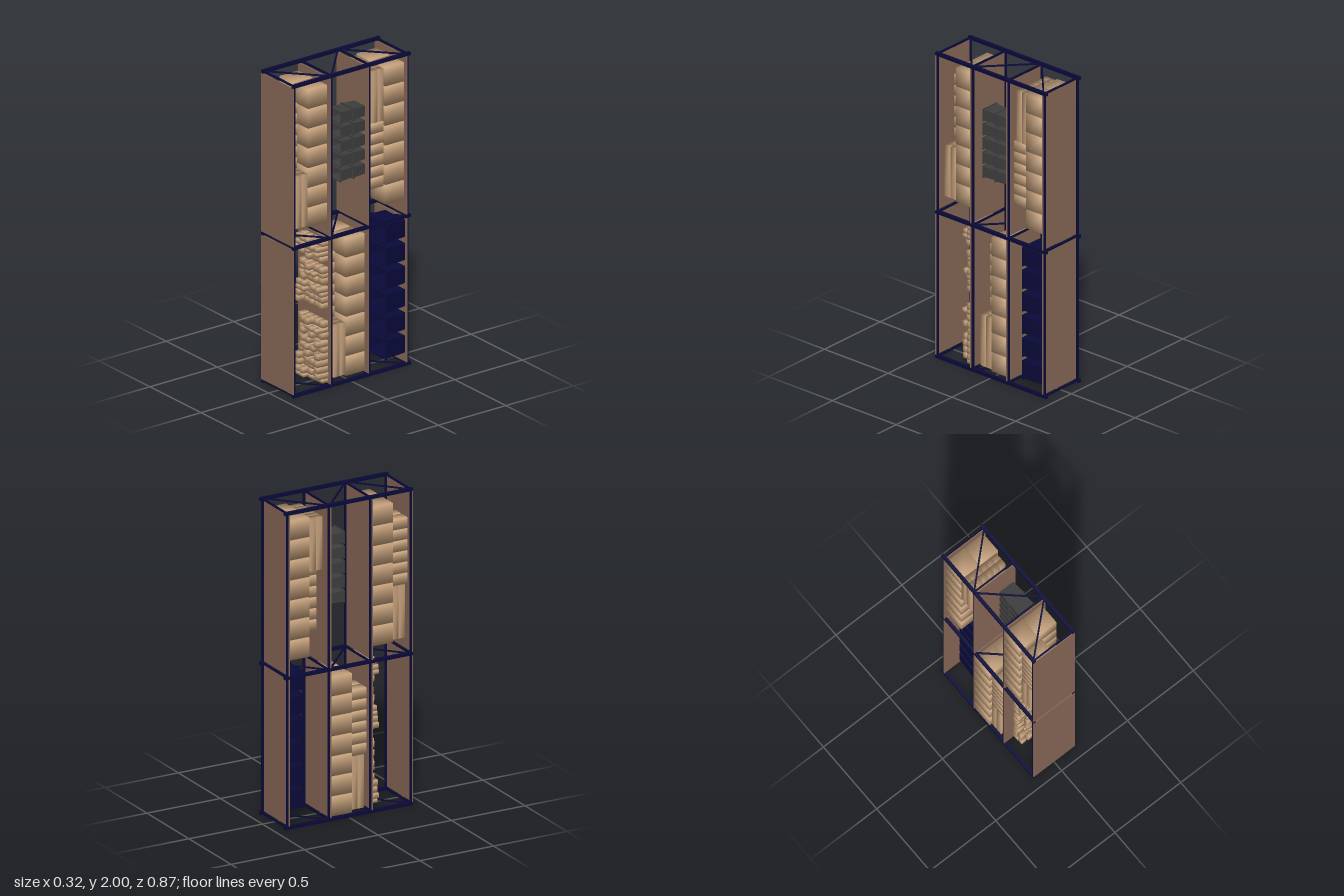
import * as THREE from 'three';
import { mergeVertices } from 'three/addons/utils/BufferGeometryUtils.js';

const mat = (name, color, side = THREE.FrontSide) => {
  const m = new THREE.MeshStandardMaterial({ color, side });
  m.name = name;
  return m;
};

export function createModel() {
  const root = new THREE.Group();
  root.name = 'storageRack';
  const navy = mat('navy steel', 0x0a0a3a, THREE.DoubleSide);
  const board = mat('brown board', 0x8a6a58);
  const card = mat('cardboard', 0xcaa57f);
  const grey = mat('dark grey plastic', 0x3e3e3e, THREE.DoubleSide);

  // Box given by its min and max on each axis
  function box(parent, name, m, [x0, x1], [y0, y1], [z0, z1], smooth = false) {
    let g = new THREE.BoxGeometry(x1 - x0, y1 - y0, z1 - z0);
    if (smooth) {
      g.deleteAttribute('normal');
      g.deleteAttribute('uv');
      g = mergeVertices(g);
      g.computeVertexNormals();
    }
    const mesh = new THREE.Mesh(g, m);
    mesh.name = name;
    mesh.position.set((x0 + x1) / 2, (y0 + y1) / 2, (z0 + z1) / 2);
    parent.add(mesh);
    return mesh;
  }

  // Rack frames: posts run along z, with struts and diagonal braces between
  const levels = [-0.411, -0.129, 0.153, 0.428];
  for (const y of [0.011, 0.955, 1.989]) {
    const frame = new THREE.Group();
    frame.name = 'rackFrame';
    root.add(frame);
    const h = 0.010;
    for (const x of [-0.15, 0.146])
      box(frame, 'post', navy, [x - 0.01, x + 0.01], [y - h, y + h], [-0.436, 0.434]);
    for (const z of levels)
      box(frame, 'strut', navy, [-0.148, 0.146], [y - 0.006, y + 0.006], [z - 0.01, z - 0.002]);
    for (let i = 0; i < 3; i++) {
      const s = i === 1 ? 1 : -1;
      const za = levels[i] + 0.005, zb = levels[i + 1] - 0.01;
      const dx = 0.29 * s, dz = zb - za, len = Math.hypot(dx, dz);
      const b = box(frame, 'brace', navy, [-len / 2, len / 2], [-0.004, 0.004], [-0.005, 0.005]);
      b.position.set(-0.002, y, (za + zb) / 2);
      b.rotation.y = -Math.atan2(dz, dx);
    }
  }

  // Shelf boards with a beam along each edge
  for (const [y0, y1] of [[0.021, 0.945], [0.965, 1.979]])
    for (const z of levels) {
      box(root, 'shelfBoard', board, [-0.16, 0.154], [y0, y1], [z, z + 0.006]);
      for (const x of [-0.15, 0.144])
        box(root, 'shelfBeam', navy, [x - 0.006, x + 0.006], [y0, y1], [z - 0.012, z - 0.001]);
    }

  // Load of cartons: large ones, long ones and small ones
  function cartonLoad(x, y, z, turn = 0) {
    const load = new THREE.Group();
    load.name = 'cartonLoad';
    load.position.set(x, y, z);
    load.rotation.z = turn;
    root.add(load);
    for (let r = 0; r < 7; r++)
      for (const cx of [-0.071, 0.071])
        box(load, 'largeCarton', card, [cx - 0.069, cx + 0.069],
          [r * 0.126, r * 0.126 + 0.12], [0, 0.139], true);
    for (let c = 0; c < 6; c++)
      for (let l = 0; l < 2; l++) {
        const cx = -0.125 + c * 0.044, cz = 0.141 + l * 0.045;
        box(load, 'longCarton', card, [cx, cx + 0.043], [0.01, 0.342], [cz, cz + 0.043], true);
      }
    for (let r = 0; r < 6; r++)
      for (const cx of [-0.084, -0.006]) {
        const cy = 0.346 + r * 0.07;
        box(load, 'smallCarton', card, [cx - 0.038, cx + 0.038], [cy, cy + 0.065], [0.141, 0.248], true);
      }
  }
  cartonLoad(-0.018, 1.05, 0.16);
  cartonLoad(-0.018, 0.03, -0.12);
  cartonLoad(-0.005, 1.934, -0.402, Math.PI);

  // Loose small packets in two uneven layers
  let seed = 7;
  const rnd = () => (seed = (seed * 16807) % 2147483647) / 2147483647;
  const packets = new THREE.Group();
  packets.name = 'smallPackets';
  root.add(packets);
  for (const [ya, yb] of [[0.03, 0.30], [0.31, 0.44], [0.50, 0.645], [0.655, 0.78], [0.80, 0.935]])
    for (let y = ya; y < yb - 0.02;) {
      const h = Math.min(0.026 + rnd() * 0.018, yb - y);
      for (let c = 0; c < 5; c++) {
        const x = -0.095 + c * 0.046 + rnd() * 0.005, d = 0.036 + rnd() * 0.015;
        box(packets, 'packet', card, [x, x + 0.042], [y, y + h - 0.003], [0.16, 0.16 + d], true);
        if (rnd() < 0.5)
          box(packets, 'upperPacket', card, [x + 0.003, x + 0.04], [y + 0.002, y + h - 0.004],
            [0.16 + d, 0.193 + d], true);
      }
      y += h;
    }

  // Open tapered bin, mouth towards +z, with a thin lip around it
  function bin(name, m, [x0, x1], [y0, y1], [z0, z1], taper) {
    const g = new THREE.Group();
    g.name = name;
    g.position.set((x0 + x1) / 2, (y0 + y1) / 2, (z0 + z1) / 2);
    root.add(g);
    const w = x1 - x0, h = y1 - y0, d = z1 - z0, lip = 0.005;
    const geo = new THREE.BoxGeometry(w - 2 * lip, h - 2 * lip, d);
    const idx = Array.from(geo.index.array);
    idx.splice(24, 6);
    geo.setIndex(idx);
    geo.clearGroups();
    const p = geo.attributes.position;
    for (let i = 0; i < p.count; i++)
      if (p.getZ(i) < 0) p.setXY(i, p.getX(i) * taper, p.getY(i) * taper);
    geo.computeVertexNormals();
    const shell = new THREE.Mesh(geo, m);
    shell.name = 'binShell';
    g.add(shell);
    const zr = [d / 2 - 0.006, d / 2];
    for (const s of [-1, 1]) {
      const ex = s * (w / 2 - lip / 2), ey = s * (h / 2 - lip / 2);
      box(g, 'binLip', m, [ex - lip / 2, ex + lip / 2], [-h / 2, h / 2], zr);
      box(g, 'binLip', m, [-w / 2, w / 2], [ey - lip / 2, ey + lip / 2], zr);
    }
  }
  for (let r = 0; r < 6; r++) {
    const y = 0.074 + r * 0.148;
    bin('largeBin', navy, [-0.06, 0.158], [y, y + 0.125], [-0.402, -0.25], 0.93);
  }
  for (let r = 0; r < 5; r++)
    for (let l = 0; l < 2; l++) {
      const y = 1.285 + r * 0.0925, z = -0.115 + l * 0.094;
      bin('smallBin', grey, [0.016, 0.142], [y, y + 0.08], [z, z + 0.093], 0.9);
    }
  return root;
}
